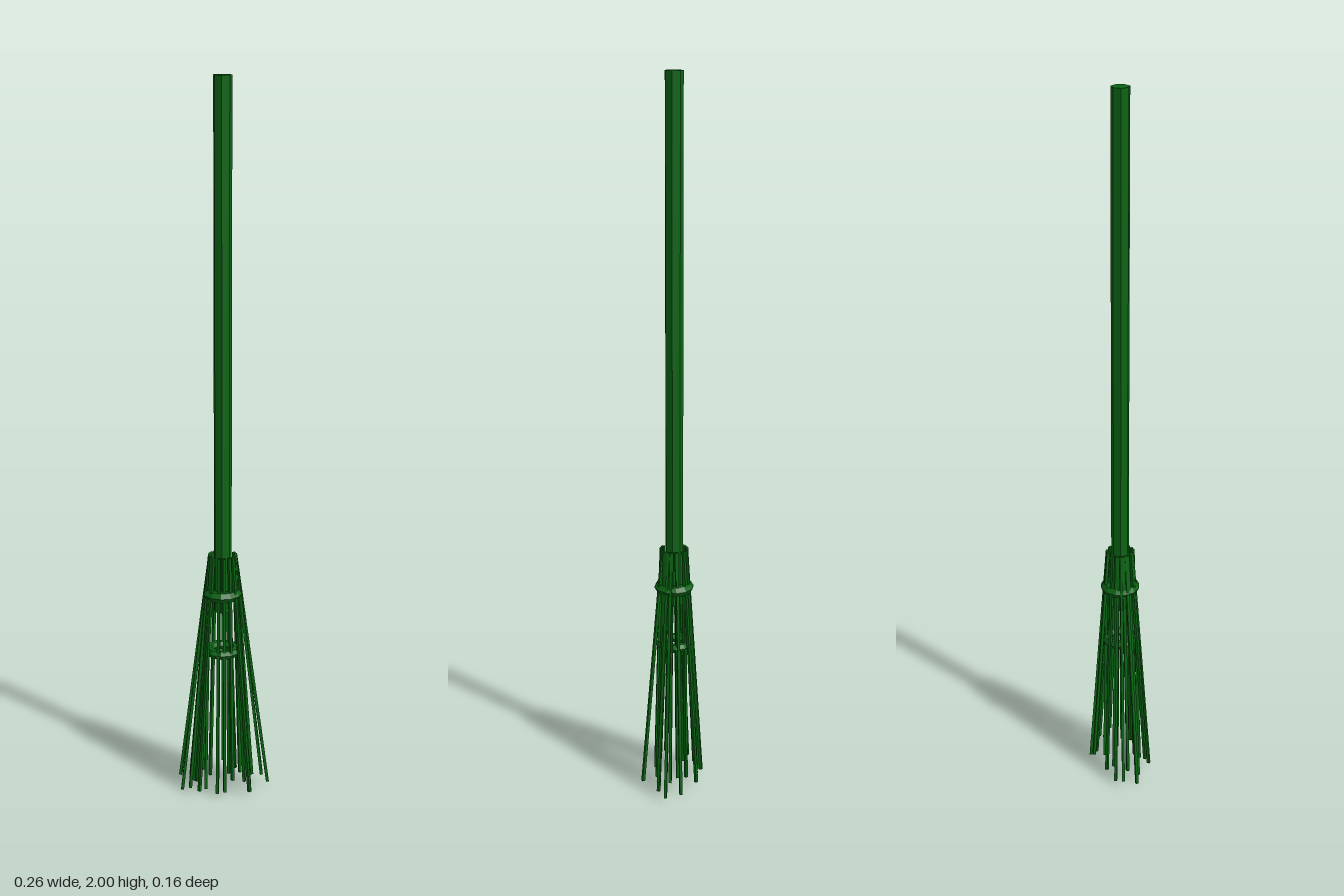
import * as THREE from 'three';

const CX = -0.002, CZ = 0.003; // axis of the handle

export function createModel() {
  const broom = new THREE.Group();
  broom.name = 'broom';
  const green = new THREE.MeshStandardMaterial({ color: 0x0b6414, flatShading: true });

  const add = (name, geometry, x, y, z, parent = broom) => {
    const mesh = new THREE.Mesh(geometry, green);
    mesh.name = name;
    mesh.position.set(x, y, z);
    parent.add(mesh);
    return mesh;
  };

  // Faceted handle, its lower end hidden among the bristles
  const bottom = 0.55, top = 2;
  add('handle', new THREE.CylinderGeometry(0.025, 0.025, top - bottom, 7), CX, (top + bottom) / 2, CZ);

  // Binding rings around the bristles
  const ring = (name, y, radius, tube) => {
    const geometry = new THREE.TorusGeometry(radius, tube, 6, 12).rotateX(Math.PI / 2);
    add(name, geometry, CX, y, CZ);
  };
  ring('upperBinding', 0.603, 0.039, 0.016);
  ring('lowerBinding', 0.432, 0.038, 0.013);

  // Bristles: lower tips as [x, z], splayed more to the sides than front to back
  const tips = [
    [-0.126, -0.023], [-0.116, 0.021], [-0.094, 0.0], [-0.092, 0.032], [-0.071, 0.059],
    [-0.062, 0.073], [-0.087, -0.035], [-0.064, -0.034], [-0.043, -0.049], [-0.008, -0.078],
    [0.027, -0.078], [0.07, -0.049], [0.08, -0.02], [0.125, -0.025], [0.109, 0.003],
    [0.079, 0.064], [0.077, 0.017], [0.062, 0.027], [-0.012, 0.06], [0.03, 0.046],
    [0.012, -0.04], [-0.05, 0.012], [0.045, -0.028], [0.008, 0.05],
  ];
  const bristles = new THREE.Group();
  bristles.name = 'bristles';
  broom.add(bristles);
  const up = new THREE.Vector3(0, 1, 0);
  tips.forEach(([x, z], i) => {
    const angle = Math.atan2(z - CZ, x - CX);
    const tip = new THREE.Vector3(x, 0.003 + 0.012 * ((i * 3 + 2) % 5), z);
    const root = new THREE.Vector3(CX + 0.036 * Math.cos(angle), 0.715, CZ + 0.036 * Math.sin(angle));
    const direction = root.clone().sub(tip);
    const geometry = new THREE.BoxGeometry(0.008, direction.length(), 0.008).rotateY(-angle);
    const middle = tip.add(root).multiplyScalar(0.5);
    const mesh = add('bristle', geometry, middle.x, middle.y, middle.z, bristles);
    mesh.quaternion.setFromUnitVectors(up, direction.normalize());
  });

  return broom;
}
